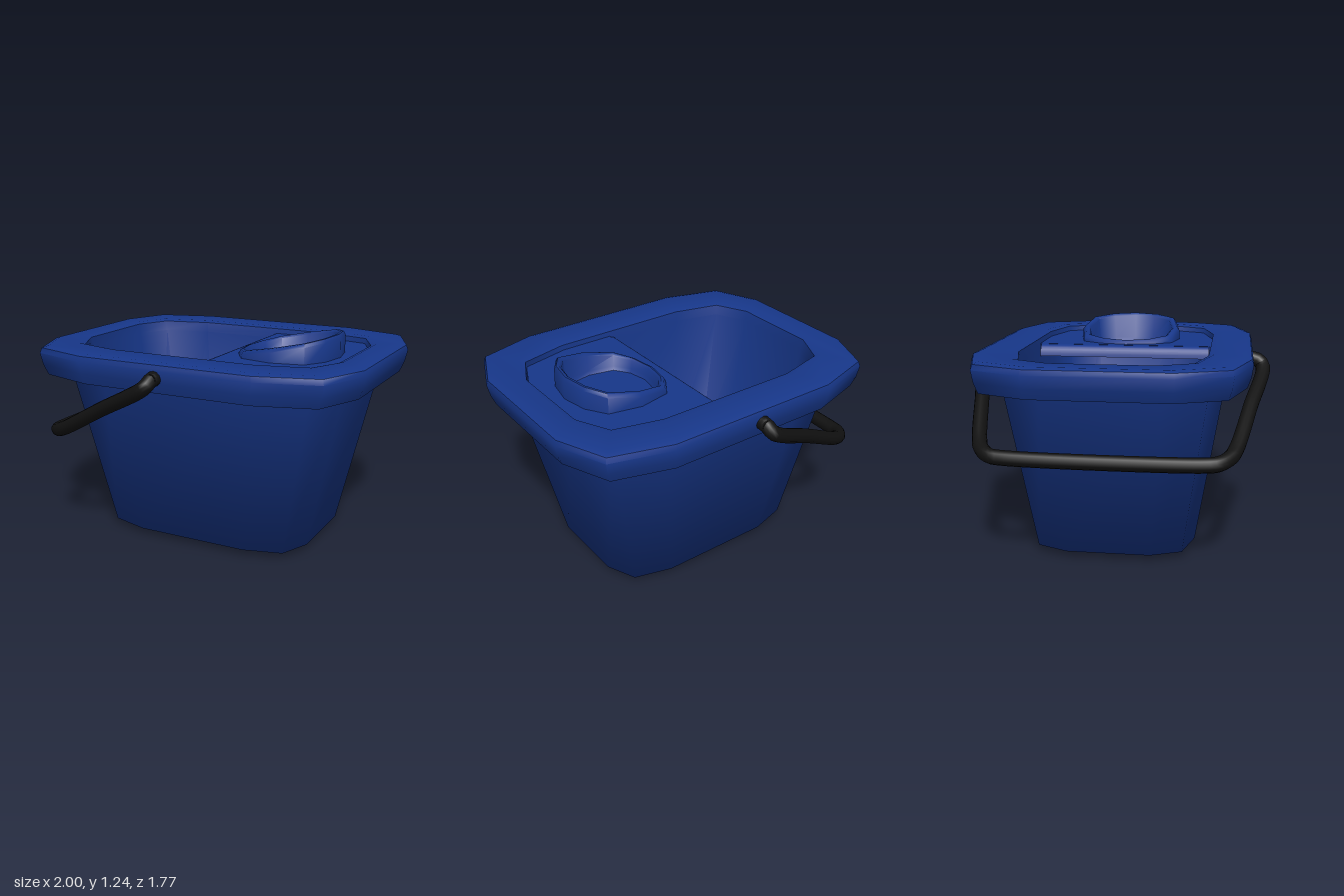
import * as THREE from 'three';
import { toCreasedNormals } from 'three/addons/utils/BufferGeometryUtils.js';

const blue = new THREE.MeshStandardMaterial({ color: 0x17378a, side: THREE.DoubleSide });
const black = new THREE.MeshStandardMaterial({ color: 0x111111 });

// Mirrors one quarter of an outline into a full loop, dropping doubled points
function fullOutline(quarter) {
  const back = [...quarter].reverse();
  const all = [
    ...quarter,
    ...back.map(([x, z]) => [-x, z]),
    ...quarter.map(([x, z]) => [-x, -z]),
    ...back.map(([x, z]) => [x, -z]),
  ];
  return all.filter(([x, z], i) => {
    const [px, pz] = all[(i + all.length - 1) % all.length];
    return Math.hypot(x - px, z - pz) > 0.001;
  });
}

const bucketOutline = fullOutline([[1, 0.5], [0.88, 0.87], [0.53, 1]]);
const cupOutline = fullOutline([[1, 0], [0.9, 0.5], [0.64, 0.88], [0, 1]]);

// Skins an outline through rings of [half width, half depth, height, tilt]
function loft(outline, rings, cx = 0, crease = 0.9) {
  const n = outline.length, pos = [], index = [];
  for (const [hx, hz, y, tilt = 0] of rings)
    for (const [x, z] of outline) pos.push(cx + x * hx, y + tilt * x * hx, z * hz);
  for (let i = 0; i < rings.length - 1; i++)
    for (let j = 0; j < n; j++) {
      const a = i * n + j, b = i * n + (j + 1) % n;
      if (rings[i][0] > 0) index.push(a, a + n, b);
      if (rings[i + 1][0] > 0) index.push(b, a + n, b + n);
    }
  const geo = new THREE.BufferGeometry();
  geo.setAttribute('position', new THREE.Float32BufferAttribute(pos, 3));
  geo.setIndex(index);
  return toCreasedNormals(geo, crease);
}

export function createModel() {
  const model = new THREE.Group();
  const add = (name, geometry, material = blue) => {
    const mesh = new THREE.Mesh(geometry, material);
    mesh.name = name;
    model.add(mesh);
  };

  // Tapered outer shell
  add('bucketBody', loft(bucketOutline, [
    [0, 0, 0], [0.57, 0.42, 0.01], [0.64, 0.475, 0.035], [0.875, 0.645, 1.08],
  ], 0, 1.4));

  // Overhanging rim with a hollow skirt, running into the inner wall and floor
  add('rimAndInterior', loft(bucketOutline, [
    [0.87, 0.64, 1.08], [0.94, 0.73, 1.08], [0.94, 0.735, 0.98], [0.96, 0.75, 0.98],
    [0.985, 0.77, 1.04], [1, 0.78, 1.11], [0.99, 0.77, 1.14], [0.96, 0.74, 1.15],
    [0.84, 0.565, 1.15], [0.81, 0.535, 1.14], [0.8, 0.525, 1.08],
    [0.63, 0.455, 0.12], [0.6, 0.42, 0.07], [0.54, 0.36, 0.05], [0, 0, 0.05],
  ]));

  // Recessed deck over the left half, with a hole for the cup
  const deck = new THREE.Shape([
    [0.09, -0.53], [0.42, -0.53], [0.71, -0.46], [0.8, -0.265],
    [0.8, 0.265], [0.71, 0.46], [0.42, 0.53], [0.09, 0.53],
  ].map(([x, z]) => new THREE.Vector2(x, z)));
  deck.holes.push(new THREE.Path(
    cupOutline.map(([x, z]) => new THREE.Vector2(0.42 + x * 0.27, z * 0.28))));
  const deckGeo = new THREE.ExtrudeGeometry(deck, { depth: 0.025, bevelEnabled: false });
  deckGeo.rotateX(Math.PI / 2).translate(0, 1.11, 0);
  add('deck', deckGeo);

  // Rounded front edge of the deck, curling down into the opening
  const lip = new THREE.Shape();
  lip.moveTo(0.1, 1.11);
  lip.quadraticCurveTo(0.045, 1.11, 0.04, 1.04);
  lip.lineTo(0.06, 1.04);
  lip.quadraticCurveTo(0.065, 1.085, 0.1, 1.085);
  const lipGeo = new THREE.ExtrudeGeometry(lip, { depth: 1.04, bevelEnabled: false, curveSegments: 6 });
  add('deckLip', toCreasedNormals(lipGeo.translate(0, 0, -0.52), 0.7));

  // Wringer cup with a slanted top edge
  add('wringerCup', loft(cupOutline, [
    [0.3, 0.32, 1.09], [0.298, 0.315, 1.165, 0.2], [0.287, 0.3, 1.185, 0.2],
    [0.272, 0.283, 1.187, 0.2], [0.26, 0.268, 1.175, 0.2],
    [0.25, 0.255, 1.08], [0.235, 0.24, 1.06], [0, 0, 1.06],
  ], 0.42));

  // Swung-down carrying handle, mirrored front to back
  const half = [
    [-0.04, 1.07, 0.76], [-0.045, 1.06, 0.81], [-0.06, 1.03, 0.84],
    [-0.4, 0.85, 0.77], [-0.7, 0.69, 0.7], [-0.77, 0.66, 0.67], [-0.83, 0.64, 0.61], [-0.845, 0.635, 0.54],
  ];
  const path = new THREE.CatmullRomCurve3(
    [...half, ...[...half].reverse().map(([x, y, z]) => [x, y, -z])]
      .map((p) => new THREE.Vector3(...p)), false, 'centripetal');
  add('handle', new THREE.TubeGeometry(path, 120, 0.042, 12), black);

  // Pivot knobs joining the handle to the rim
  for (const s of [1, -1]) {
    const knob = new THREE.CylinderGeometry(0.036, 0.036, 0.1, 12);
    add('handlePivot', knob.rotateX(Math.PI / 2).translate(-0.04, 1.065, s * 0.77), black);
  }
  return model;
}
